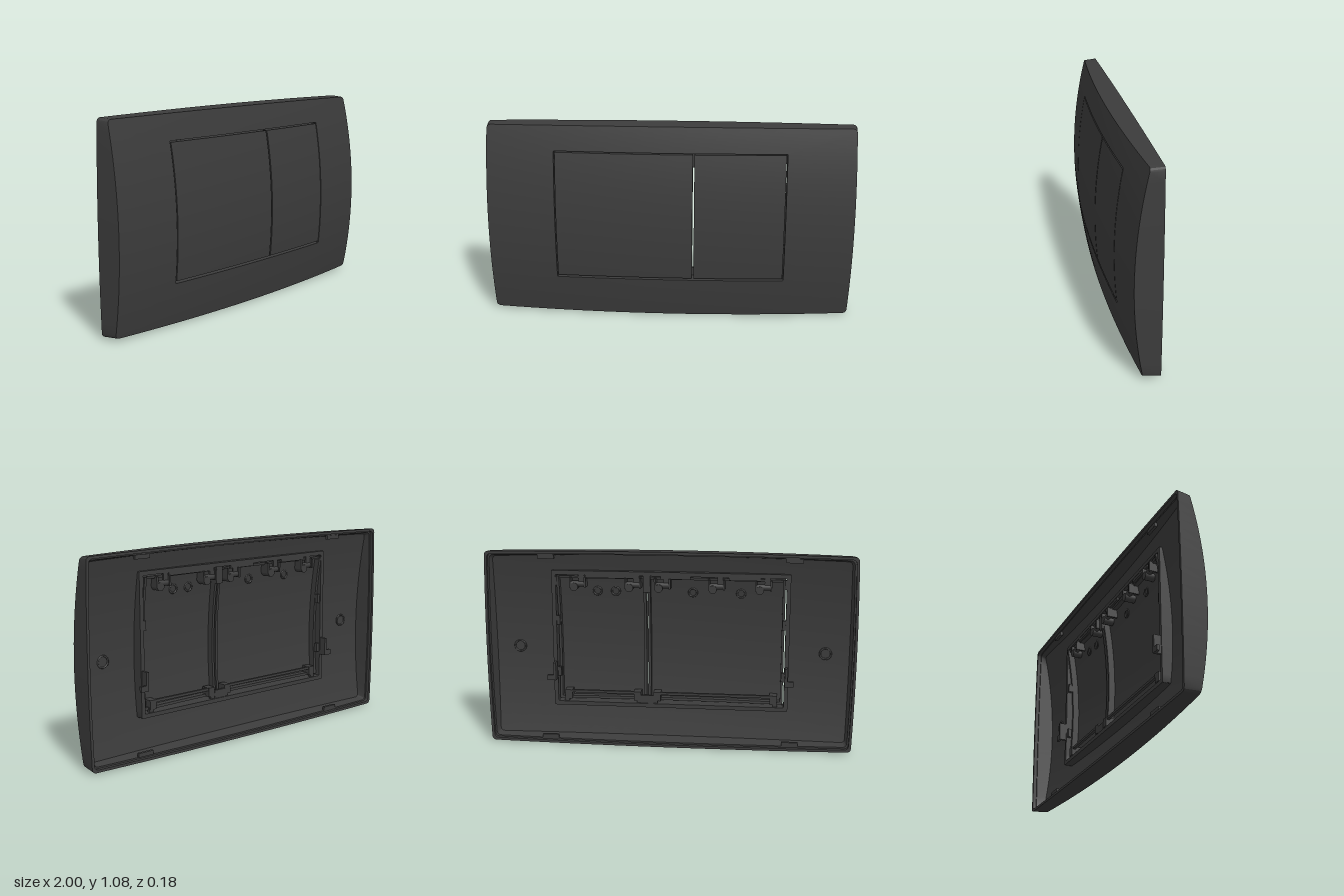
import * as THREE from 'three';
import { toCreasedNormals } from 'three/addons/utils/BufferGeometryUtils.js';

const MID = 0.545; // height of the plate centre

// Gently domed front surface
const front = (x, y) => 0.09 - 0.045 * x * x - 0.212 * (y - 0.496) ** 2;

// Rounded rectangle as a closed loop of [x, y], counter-clockwise
function roundRect(x0, x1, y0, y1, r, n = 20) {
  const centres = [[x1 - r, y0 + r, -90], [x1 - r, y1 - r, 0], [x0 + r, y1 - r, 90], [x0 + r, y0 + r, 180]];
  const arcs = centres.map(([cx, cy, a0]) => [0, 30, 60, 90].map((d) => {
    const a = THREE.MathUtils.degToRad(a0 + d);
    return [cx + r * Math.cos(a), cy + r * Math.sin(a)];
  }));
  const pts = [];
  arcs.forEach((arc, k) => {
    pts.push(...arc);
    const p = arc[3], q = arcs[(k + 1) % 4][0];
    for (let i = 1; i < n; i++) pts.push([p[0] + (q[0] - p[0]) * i / n, p[1] + (q[1] - p[1]) * i / n]);
  });
  return pts;
}

// Outer outline with slightly bowed sides
function outline(inset) {
  const hx = 0.99 - inset, hy = 0.533 - inset;
  return roundRect(-hx, hx, -hy, hy, 0.02).map(([x, y]) => [
    x * (1 + 0.009 * (1 - (y / hy) ** 2)),
    MID + y * (1 + 0.017 * (1 - (x / hx) ** 2)),
  ]);
}

const opening = (grow) => roundRect(-0.622 - grow, 0.622 + grow, 0.23 - grow, 0.945 + grow, 0.006);
const mix = (a, b, t) => a.map((p, i) => [p[0] + (b[i][0] - p[0]) * t, p[1] + (b[i][1] - p[1]) * t]);
const withZ = (loop, z) => loop.map(([x, y]) => [x, y, typeof z === 'function' ? z(x, y) : z]);

// Skin a closed ring of loops
function loftRing(loops) {
  const n = loops[0].length, m = loops.length, index = [];
  for (let j = 0; j < m; j++) {
    for (let i = 0; i < n; i++) {
      const a = j * n + i, b = j * n + (i + 1) % n;
      const k = ((j + 1) % m) * n, d = k + i, c = k + (i + 1) % n;
      index.push(a, b, c, a, c, d);
    }
  }
  const g = new THREE.BufferGeometry();
  g.setAttribute('position', new THREE.Float32BufferAttribute(loops.flat(2), 3));
  g.setIndex(index);
  return toCreasedNormals(g, 0.4);
}

// Slab that follows the dome, from depth d0 to d1 behind the front surface
function domedSlab(x0, x1, y0, y1, d0, d1, sx = 16, sy = 20) {
  const g = new THREE.BoxGeometry(x1 - x0, y1 - y0, d1 - d0, sx, sy, 1);
  g.translate((x0 + x1) / 2, (y0 + y1) / 2, -(d0 + d1) / 2);
  const p = g.attributes.position;
  for (let i = 0; i < p.count; i++) p.setZ(i, p.getZ(i) + front(p.getX(i), p.getY(i)));
  g.computeVertexNormals();
  return g;
}

export function createModel() {
  const model = new THREE.Group();
  const charcoal = new THREE.MeshStandardMaterial({ color: 0x3c3c3c });
  charcoal.name = 'charcoal plastic';

  const add = (name, geometry, parent = model) => {
    const mesh = new THREE.Mesh(geometry, charcoal);
    mesh.name = name;
    parent.add(mesh);
    return mesh;
  };
  const box = (name, w, h, d, x, y, z, parent) =>
    add(name, new THREE.BoxGeometry(w, h, d), parent).position.set(x, y, z);
  const group = (name) => {
    const g = new THREE.Group();
    g.name = name;
    model.add(g);
    return g;
  };

  // Hollow cover plate: outer wall, domed face, opening skirt, inner floor, inner wall
  const floor = (x, y) => front(x, y) - 0.03;
  const steps = [0, 0.2, 0.4, 0.6, 0.8, 1];
  add('coverPlate', loftRing([
    withZ(outline(0), -0.09),
    ...steps.map((t) => withZ(mix(outline(0.006), opening(0), t), front)),
    withZ(opening(0), -0.02),
    withZ(opening(0.022), -0.02),
    ...steps.map((t) => withZ(mix(opening(0.022), outline(0.032), t), floor)),
    withZ(outline(0.022), -0.07),
    withZ(outline(0.014), -0.07),
    withZ(outline(0.014), -0.09),
  ]));

  // Two push buttons with rear flanges
  const buttons = [['wideButton', -0.616, 0.122], ['narrowButton', 0.131, 0.616]];
  for (const [name, x0, x1] of buttons) {
    const y0 = 0.242, y1 = 0.938, g = group(name);
    add('buttonFace', domedSlab(x0, x1, y0, y1, 0, 0.025), g);
    for (const x of [x0, x1 - 0.014]) add('sideFlange', domedSlab(x, x + 0.014, y0, y1, 0.02, 0.06, 1, 20), g);
    add('topFlange', domedSlab(x0, x1, y1 - 0.014, y1, 0.02, 0.05, 16, 1), g);
    add('bottomFlange', domedSlab(x0, x1, y0, y0 + 0.014, 0.02, 0.06, 16, 1), g);

    // Latch bar along the bottom, held by small blocks
    const cx = (x0 + x1) / 2, w = x1 - x0;
    box('latchBar', w - 0.08, 0.014, 0.016, cx, 0.285, 0.0, g);
    for (const s of [-1, 1]) {
      const x = cx + s * (w / 2 - 0.05);
      box('latchBlock', 0.04, 0.05, 0.055, x, 0.268, 0.015, g);
      box('latchTab', 0.025, 0.03, 0.02, x + s * 0.01, 0.24, 0.0, g);
    }
  }

  // Hinge barrels and pegs along the top
  const hinges = group('hinges');
  for (const x of [-0.5, -0.25, 0.04, 0.2, 0.5]) {
    const barrel = add('hingeBarrel', new THREE.CylinderGeometry(0.016, 0.016, 0.09, 16), hinges);
    barrel.rotation.z = Math.PI / 2;
    barrel.position.set(x, 0.895, -0.01);
    const peg = add('hingePeg', new THREE.CylinderGeometry(0.022, 0.022, 0.06, 20), hinges);
    peg.rotation.x = Math.PI / 2;
    peg.position.set(x + 0.02, 0.88, 0.0);
    for (const s of [-1, 1]) box('hingeCheek', 0.01, 0.055, 0.06, x + s * 0.04, 0.905, 0.0, hinges);
    box('hingeTab', 0.03, 0.06, 0.012, x - 0.02, 0.93, -0.012, hinges);
  }

  // Ledge strips across the top gap
  for (const [x, w] of [[-0.4, 0.17], [-0.03, 0.16], [0.32, 0.28]]) {
    box('topLedge', w, 0.026, 0.012, x, 0.942, -0.012, hinges);
  }

  // Round marks behind the buttons and on the plate floor
  const ring = (name, r, x, y, z) =>
    add(name, new THREE.TorusGeometry(r, 0.005, 8, 28)).position.set(x, y, z);
  for (const x of [-0.38, -0.12, 0.3, 0.4]) ring('buttonRing', 0.022, x, 0.85, front(x, 0.85) - 0.026);
  for (const x of [-0.84, 0.84]) ring('floorRing', 0.03, x, 0.53, front(x, 0.53) - 0.031);

  // Mirrored clips, guides and wall catches
  for (const s of [-1, 1]) {
    const g = group(s > 0 ? 'leftClips' : 'rightClips');
    box('clipStem', 0.014, 0.1, 0.05, s * 0.632, 0.41, -0.035, g);
    box('clipFoot', 0.045, 0.03, 0.014, s * 0.65, 0.375, -0.053, g);
    for (const y of [0.4, 0.69, 0.91]) box('sideGuide', 0.024, 0.05, 0.02, s * 0.616, y, -0.005, g);
    for (const y of [0.04, 1.05]) box('wallCatch', 0.09, 0.022, 0.016, s * 0.66, y, -0.068, g);
  }

  // Divider support between the buttons
  const divider = group('divider');
  box('dividerTop', 0.04, 0.09, 0.012, 0.126, 0.9, -0.008, divider);
  box('dividerBottom', 0.07, 0.05, 0.014, 0.126, 0.25, -0.008, divider);
  return model;
}
